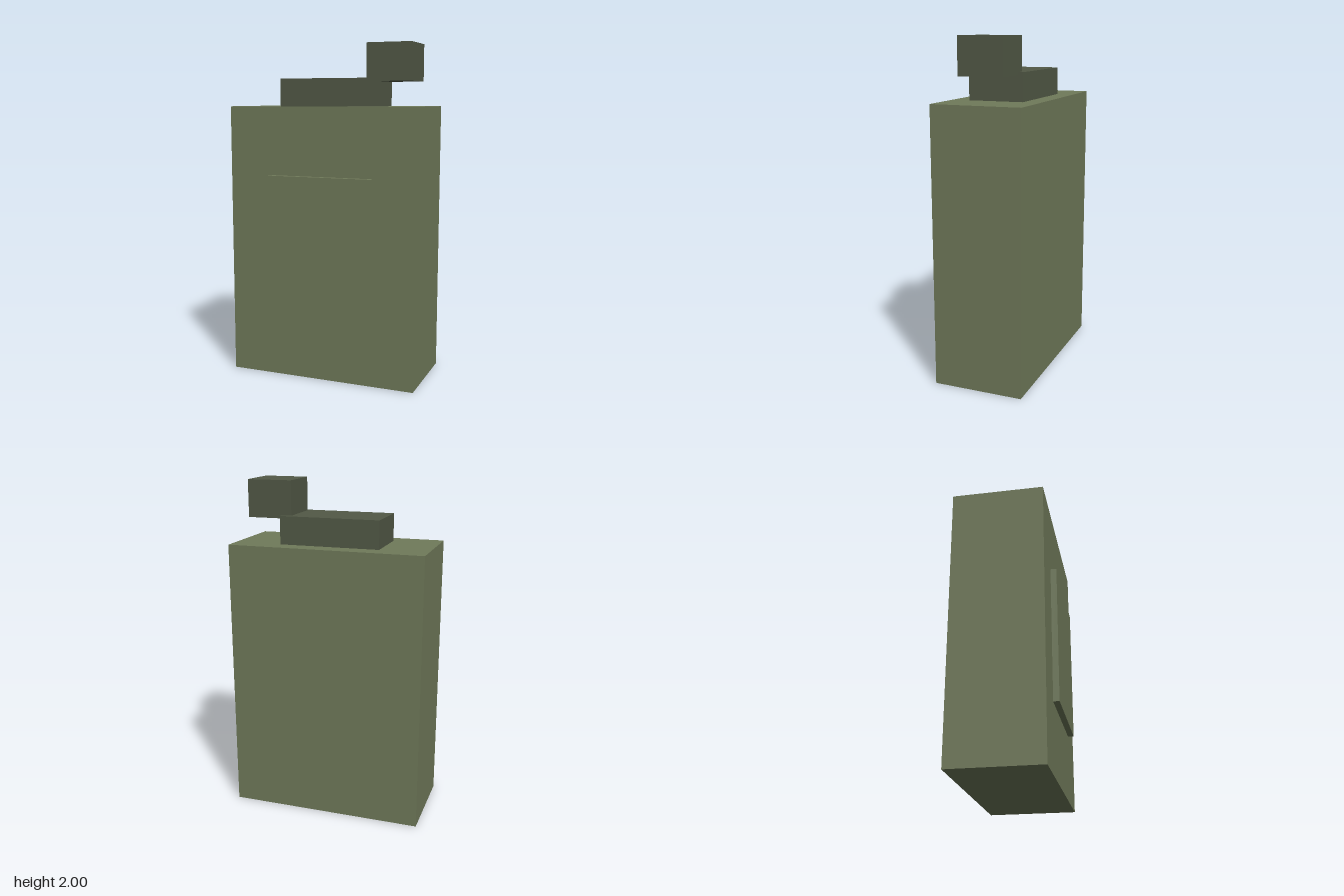
import * as THREE from 'three';

export function createModel() {
  const model = new THREE.Group();
  model.name = 'canister';

  const olive = new THREE.MeshStandardMaterial({ color: 0x707a5a });
  olive.name = 'olive green';
  const darkOlive = new THREE.MeshStandardMaterial({ color: 0x525946 });
  darkOlive.name = 'dark olive';

  // Adds a box spanning the given [min, max] range on each axis
  function addBox(name, material, [x0, x1], [y0, y1], [z0, z1]) {
    const mesh = new THREE.Mesh(new THREE.BoxGeometry(x1 - x0, y1 - y0, z1 - z0), material);
    mesh.position.set((x0 + x1) / 2, (y0 + y1) / 2, (z0 + z1) / 2);
    mesh.name = name;
    model.add(mesh);
  }

  // Main tank and the raised panel on its front
  addBox('body', olive, [-0.58, 0.58], [0, 1.636], [-0.285, 0.25]);
  addBox('frontPanel', olive, [-0.327, 0.327], [0.412, 1.23], [0.24, 0.285]);

  // Raised top block with the offset cap overlapping its left end
  addBox('topBlock', darkOlive, [-0.297, 0.297], [1.63, 1.8], [-0.18, 0.146]);
  addBox('cap', darkOlive, [0.237, 0.504], [1.782, 2], [-0.151, 0.116]);

  return model;
}
